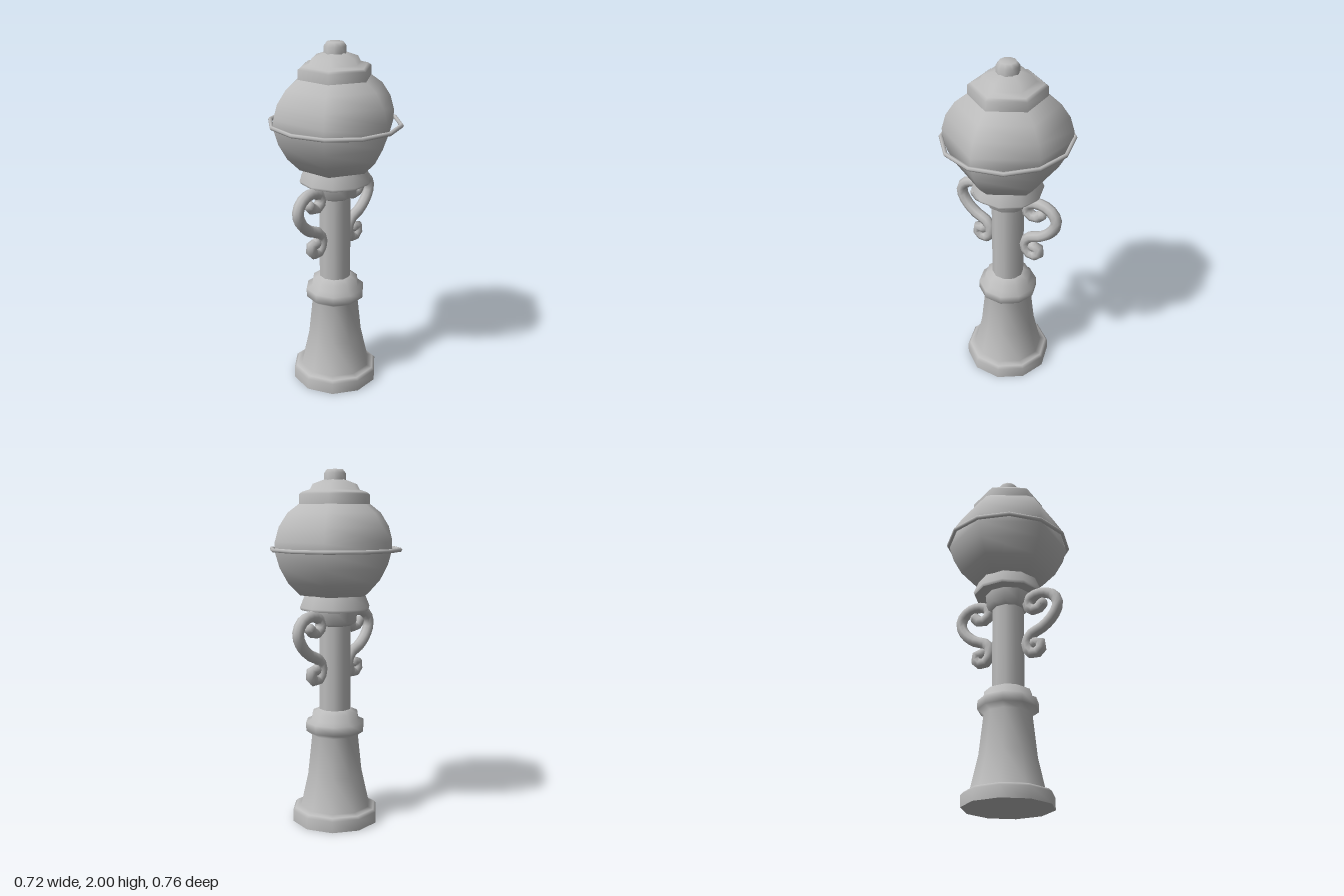
import * as THREE from 'three';

const castMetal = new THREE.MeshStandardMaterial({ color: 0xbcbcbc });
castMetal.name = 'castMetal';
castMetal.side = THREE.DoubleSide;

function addMesh(parent, name, geometry) {
  const mesh = new THREE.Mesh(geometry, castMetal);
  mesh.name = name;
  parent.add(mesh);
  return mesh;
}

// Turned part: profile of [radius, height] from bottom to top, smooth shaded
function turned(parent, name, sides, profile) {
  const start = sides === 6 ? 0 : Math.PI / 2;
  const points = profile.map(([r, y]) => new THREE.Vector2(r, y));
  return addMesh(parent, name, new THREE.LatheGeometry(points, sides, start));
}

// Flat underside closing a turned part
function underside(parent, name, sides, radius, y) {
  const disc = addMesh(parent, name, new THREE.CircleGeometry(radius, sides).rotateX(Math.PI / 2));
  disc.position.y = y;
}

// S-shaped scroll, curling in at both ends
function scroll(name) {
  const group = new THREE.Group();
  group.name = name;
  const path = [
    [0.217, 1.14], [0.18, 1.11], [0.135, 1.125], [0.122, 1.167], [0.164, 1.2],
    [0.233, 1.204], [0.291, 1.172], [0.312, 1.119], [0.286, 1.056], [0.222, 0.997],
    [0.143, 0.96], [0.116, 0.912], [0.132, 0.859], [0.169, 0.843], [0.206, 0.87],
    [0.196, 0.907], [0.168, 0.905],
  ].map(([x, y]) => new THREE.Vector3(x, y, 0));
  const radius = 0.032;
  addMesh(group, 'scrollBar', new THREE.TubeGeometry(new THREE.CatmullRomCurve3(path), 26, radius, 8));
  for (const end of [path[0], path[path.length - 1]]) {
    addMesh(group, 'scrollTip', new THREE.SphereGeometry(radius, 8, 6)).position.copy(end);
  }
  return group;
}

export function createModel() {
  const lamp = new THREE.Group();
  lamp.name = 'streetLamp';

  // Pedestal with foot and moulded collar
  turned(lamp, 'pedestal', 10, [
    [0.25, 0], [0.25, 0.065], [0.235, 0.08], [0.203, 0.09], [0.16, 0.28], [0.135, 0.51],
    [0.17, 0.535], [0.17, 0.585], [0.138, 0.6], [0.132, 0.64], [0.09, 0.66],
  ]);
  underside(lamp, 'pedestalUnderside', 10, 0.25, 0);

  // Post and the collar below the globe
  turned(lamp, 'post', 10, [[0.091, 0.65], [0.091, 1.16]]);
  turned(lamp, 'postCollar', 10, [[0.09, 1.14], [0.125, 1.16], [0.132, 1.235]]);

  // Flared skirt carrying the globe
  turned(lamp, 'globeSkirt', 10, [[0.195, 1.23], [0.202, 1.245], [0.175, 1.31], [0.16, 1.35]]);
  underside(lamp, 'skirtUnderside', 10, 0.195, 1.23);

  // Six-sided globe and its band
  turned(lamp, 'globe', 6, [
    [0.14, 1.305], [0.205, 1.315], [0.275, 1.385], [0.323, 1.47], [0.348, 1.555], [0.348, 1.61],
    [0.325, 1.69], [0.275, 1.765], [0.2, 1.82],
  ]);
  const band = addMesh(lamp, 'globeBand', new THREE.TorusGeometry(0.367, 0.012, 6, 12).rotateX(Math.PI / 2));
  band.position.y = 1.565;
  band.scale.x = 0.955;

  // Six-sided stepped lid with a round knob
  turned(lamp, 'lid', 6, [
    [0.21, 1.8], [0.208, 1.865], [0.19, 1.878], [0.147, 1.89], [0.13, 1.92], [0.06, 1.945], [0, 1.95],
  ]);
  turned(lamp, 'knob', 10, [[0.062, 1.93], [0.062, 1.978], [0.045, 2], [0, 2]]);

  // Scroll brackets on both sides
  const right = scroll('rightScroll');
  right.rotation.y = Math.PI;
  lamp.add(scroll('leftScroll'), right);

  return lamp;
}
